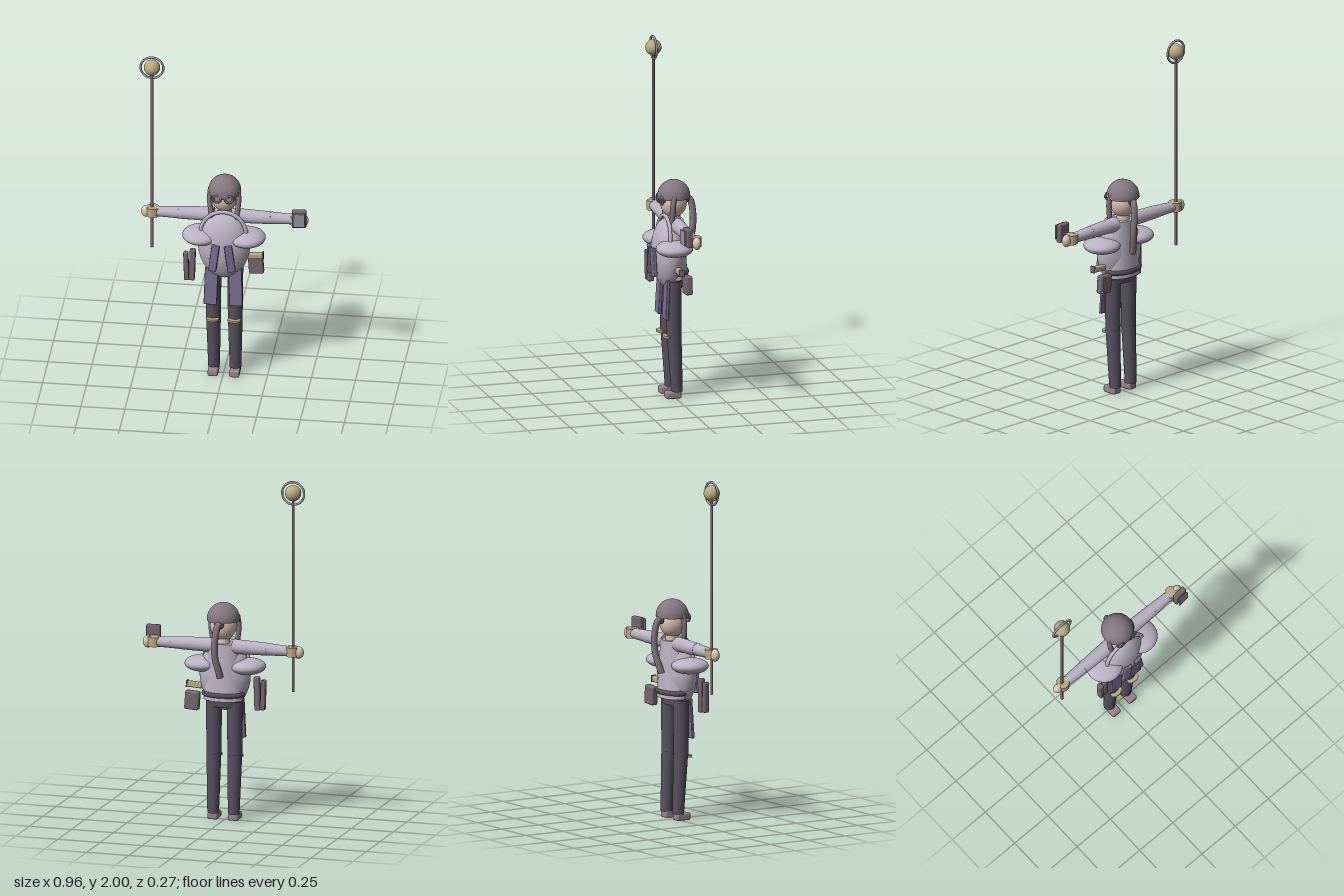
import * as THREE from 'three';
import { RoundedBoxGeometry } from 'three/addons/geometries/RoundedBoxGeometry.js';

const mat = (name, color, side = THREE.FrontSide) => {
  const m = new THREE.MeshStandardMaterial({ color, side });
  m.name = name;
  return m;
};

export function createModel() {
  const M = {
    cloth: mat('pale lavender', 0xbab2c4),
    hair: mat('mauve hair', 0x85767f, THREE.DoubleSide),
    skin: mat('skin', 0xdcc3b4),
    trousers: mat('dark trousers', 0x56505f),
    panel: mat('purple panel', 0x7a6f92),
    gold: mat('dull gold', 0xb9aa80),
    leather: mat('mauve leather', 0x77666f),
    metal: mat('grey metal', 0x9a95a2),
    boots: mat('boots', 0x96848a),
  };
  const CX = 0.005; // body midline
  const root = new THREE.Group();
  root.name = 'staffBearer';

  const add = (name, geo, m, x, y, z, rx = 0, ry = 0, rz = 0) => {
    const mesh = new THREE.Mesh(geo, m);
    mesh.name = name;
    mesh.position.set(x, y, z);
    mesh.rotation.set(rx, ry, rz);
    root.add(mesh);
    return mesh;
  };
  const ball = (name, m, x, y, z, rx, ry = rx, rz = rx) =>
    add(name, new THREE.SphereGeometry(1, 32, 20).scale(rx, ry, rz), m, x, y, z);
  const box = (name, m, w, h, d, x, y, z, rx, ry, rz) =>
    add(name, new RoundedBoxGeometry(w, h, d, 2, Math.min(w, h, d) * 0.25), m, x, y, z, rx, ry, rz);
  // Tapered limb between two points
  const limb = (name, m, a, b, ra, rb) => {
    const A = new THREE.Vector3(...a), B = new THREE.Vector3(...b), d = B.clone().sub(A);
    const mesh = add(name, new THREE.CylinderGeometry(rb, ra, d.length(), 28), m, 0, 0, 0);
    mesh.position.copy(A).add(B).multiplyScalar(0.5);
    mesh.quaternion.setFromUnitVectors(new THREE.Vector3(0, 1, 0), d.normalize());
    return mesh;
  };
  const tube = (name, m, pts, r) => add(name, new THREE.TubeGeometry(
    new THREE.CatmullRomCurve3(pts.map(p => new THREE.Vector3(...p))), 28, r, 14), m, 0, 0, 0);

  // Egg-shaped tunic front, flattened in depth
  const egg = [[0, 0.63], [0.05, 0.645], [0.095, 0.685], [0.13, 0.745], [0.148, 0.82], [0.143, 0.89],
    [0.122, 0.955], [0.085, 1.005], [0.045, 1.03], [0, 1.038]].map(p => new THREE.Vector2(...p));
  const eggGeo = new THREE.LatheGeometry(new THREE.SplineCurve(egg).getPoints(36)
    .map(p => new THREE.Vector2(Math.max(p.x, 0), p.y)), 40).scale(1, 1, 0.63);
  add('tunic', eggGeo, M.cloth, CX, 0, 0.023);

  // Back of the torso, hips and belt
  add('torsoBack', new THREE.CylinderGeometry(0.085, 0.115, 0.33, 32).scale(1, 1, 0.62), M.cloth, CX, 0.865, -0.012);
  add('hips', new THREE.CylinderGeometry(0.1, 0.09, 0.05, 32).scale(1, 1, 0.55), M.trousers, CX, 0.685, 0);
  add('belt', new THREE.TorusGeometry(0.113, 0.014, 10, 40).rotateX(Math.PI / 2).scale(1, 1, 0.62),
    M.trousers, CX, 0.735, -0.012);

  // Collar arch standing over the tunic
  add('collar', new THREE.TorusGeometry(0.13, 0.011, 12, 40, Math.PI), M.cloth, CX, 0.925, 0.05, -0.08);

  // Head, cap of hair, goggles
  add('neck', new THREE.CylinderGeometry(0.035, 0.04, 0.09, 20), M.skin, CX, 1.045, -0.01);
  ball('head', M.skin, CX, 1.135, -0.008, 0.076, 0.09, 0.076);
  add('hairCap', new THREE.SphereGeometry(0.093, 32, 16, 0, Math.PI * 2, 0, Math.PI * 0.53),
    M.hair, CX, 1.17, -0.01);
  tube('ponytail', M.hair, [[CX, 1.16, -0.085], [0.012, 1.14, -0.105], [0.022, 1.06, -0.118],
    [0.022, 0.96, -0.113], [0.008, 0.89, -0.098], [0, 0.845, -0.085]], 0.019);
  add('hairTie', new THREE.TorusGeometry(0.022, 0.008, 8, 20), M.trousers, CX, 1.155, -0.088);
  box('goggleBridge', M.leather, 0.14, 0.014, 0.014, CX, 1.157, 0.066);

  // Mirrored body parts
  for (const s of [-1, 1]) {
    const side = s > 0 ? 'left' : 'right';
    const X = v => CX + s * v;
    add(side + 'GoggleRim', new THREE.TorusGeometry(0.021, 0.007, 10, 24), M.leather, X(0.034), 1.155, 0.073);
    add(side + 'GoggleLens', new THREE.CylinderGeometry(0.019, 0.019, 0.008, 20).rotateX(Math.PI / 2),
      M.metal, X(0.034), 1.155, 0.071);
    tube(side + 'HairLock', M.hair, [[X(0.078), 1.19, 0.008], [X(0.083), 1.13, 0.018],
      [X(0.078), 1.07, 0.02], [X(0.068), 1.01, 0.026]], 0.015);

    // Disc-like puffed wings at the waist
    ball(side + 'Puff', M.cloth, X(0.131), 0.895, 0.025, 0.106, 0.046, 0.106);

    // Arm
    limb(side + 'UpperArm', M.cloth, [X(0.06), 1.012, -0.01], [X(0.262), 1.01, -0.01], 0.042, 0.036);
    limb(side + 'Forearm', M.cloth, [X(0.262), 1.01, -0.01], [X(0.39), 1.008, -0.012], 0.035, 0.029);
    add(side + 'Cuff', new THREE.CylinderGeometry(0.037, 0.037, 0.054, 28), M.gold, X(0.41), 1.008, -0.012);
    ball(side + 'Hand', M.skin, X(0.446), 1.005, -0.012, 0.031, 0.036, 0.024);

    // Leg and boot
    limb(side + 'Thigh', M.trousers, [X(0.062), 0.69, 0.009], [X(0.062), 0.375, 0.008], 0.046, 0.042);
    limb(side + 'Shin', M.trousers, [X(0.062), 0.38, 0.007], [X(0.061), 0.038, -0.01], 0.042, 0.033);
    box(side + 'Boot', M.boots, 0.058, 0.042, 0.09, X(0.061), 0.022, 0.014);
    add(side + 'KneePlate', new THREE.CylinderGeometry(0.038, 0.038, 0.012, 24).scale(1, 1, 0.6),
      M.gold, X(0.062), 0.367, 0.05);

    // Hanging purple panels on thigh and chest
    box(side + 'ThighPanel', M.panel, 0.076, 0.23, 0.018, X(0.07), 0.585, 0.056, -0.05, 0, s * 0.03);
    box(side + 'ChestPanel', M.panel, 0.046, 0.165, 0.02, X(0.045), 0.8, 0.122, 0, s * 0.15, -s * -0.13);
  }

  // Paired sheaths at the right hip
  box('sheathOuter', M.leather, 0.028, 0.175, 0.034, -0.203, 0.72, 0.08, 0, 0, 0.03);
  box('sheathInner', M.leather, 0.034, 0.195, 0.036, -0.169, 0.727, 0.075, 0, 0, -0.03);

  // Gold pouch clasp and leather pouch at the left hip
  box('pouchClasp', M.gold, 0.09, 0.034, 0.03, 0.18, 0.77, 0.008, 0, 0, 0.06);
  box('claspCap', M.leather, 0.008, 0.04, 0.032, 0.225, 0.773, 0.008, 0, 0, 0.06);
  box('pouch', M.leather, 0.085, 0.108, 0.042, 0.18, 0.69, -0.038, 0, 0, 0.07);

  // Tablet held in the left hand, with a separate screen plate
  box('tablet', M.leather, 0.082, 0.108, 0.032, 0.434, 1.04, 0.036, 0, 0.1, 0);
  box('tabletScreen', M.metal, 0.068, 0.085, 0.009, 0.436, 1.042, 0.065, 0, 0.1, 0);

  // Staff with orb and ring
  add('staffShaft', new THREE.CylinderGeometry(0.008, 0.008, 1.12, 16), M.leather, -0.41, 1.335, -0.014);
  ball('staffOrb', M.gold, -0.41, 1.929, -0.014, 0.046);
  add('staffRing', new THREE.TorusGeometry(0.065, 0.0065, 12, 48), M.metal, -0.41, 1.928, -0.014);

  return root;
}
